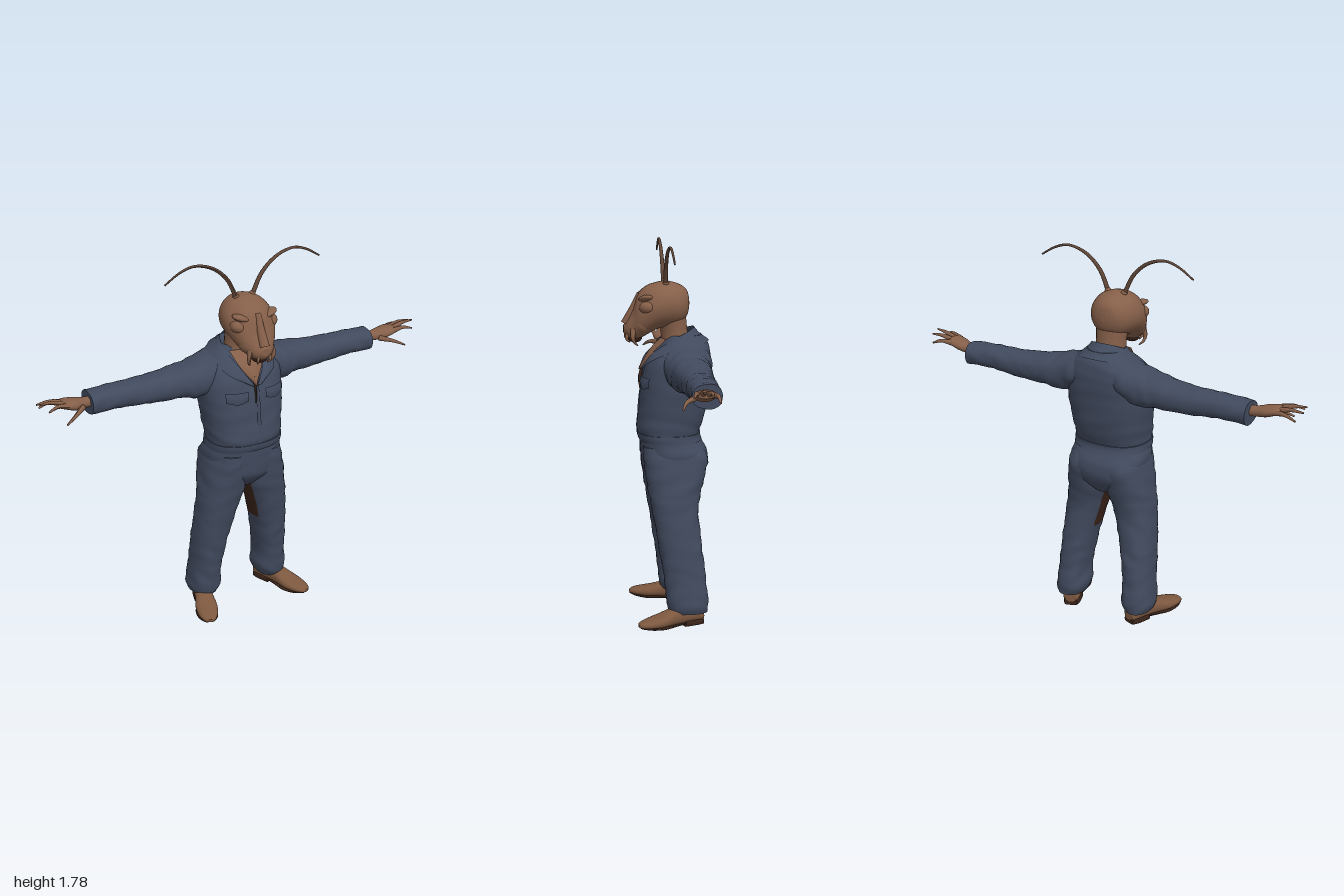
import * as THREE from 'three';

const mat = (name, color, side = THREE.FrontSide) => {
  const m = new THREE.MeshStandardMaterial({ color, side });
  m.name = name;
  return m;
};
const cloth = mat('navy cloth', 0x414a5e, THREE.DoubleSide);
const skin = mat('brown skin', 0x855f49, THREE.DoubleSide);
const leather = mat('brown shoe leather', 0x7d583f);
const dark = mat('dark brown', 0x3a241a, THREE.DoubleSide);
const horn = mat('antenna brown', 0x614738);

const catmull = (a, b, c, d, t) =>
  0.5 * (2 * b + (c - a) * t + (2 * a - 5 * b + 4 * c - d) * t * t + (3 * b - a - 3 * c + d) * t * t * t);

// Closed body through cross-sections [t, uMin, uMax, vMin, vMax], t rising along the axis.
// Axis x: u,v = y,z   axis y: u,v = z,x   axis z: u,v = x,y
function loft(axis, secs, { n = 2, seg = 28, steps = 5, fold = 0, patch = null } = {}) {
  const pos = [], main = [], extra = [];
  const put = (t, u, v) => pos.push(...(axis === 'x' ? [t, u, v] : axis === 'y' ? [v, t, u] : [u, v, t]));
  const rows = [];
  const at = i => secs[Math.max(0, Math.min(secs.length - 1, i))];
  for (let i = 0; i < secs.length - 1; i++)
    for (let k = 0; k < steps; k++)
      rows.push(at(i).map((_, c) => catmull(at(i - 1)[c], at(i)[c], at(i + 1)[c], at(i + 2)[c], k / steps)));
  rows.push(at(secs.length));
  const ring = ([t, u0, u1, v0, v1]) => {
    for (let j = 0; j < seg; j++) {
      const a = (j / seg) * Math.PI * 2, c = Math.cos(a), s = Math.sin(a);
      const f = 1 + fold * Math.sin(t * 75 + 2.5 * Math.sin(a * 2 + t * 9)) * Math.sin(t * 23 + a);
      put(t, (u0 + u1) / 2 + ((u1 - u0) / 2) * f * Math.sign(c) * Math.abs(c) ** (2 / n),
        (v0 + v1) / 2 + ((v1 - v0) / 2) * f * Math.sign(s) * Math.abs(s) ** (2 / n));
    }
  };
  rows.forEach(ring);
  for (let i = 0; i < rows.length - 1; i++)
    for (let j = 0; j < seg; j++) {
      const a = i * seg + j, b = i * seg + ((j + 1) % seg);
      const list = patch && patch(rows[i][0], ((j + 0.5) / seg) * 360) ? extra : main;
      list.push(a, b, b + seg, a, b + seg, a + seg);
    }
  // end caps
  [rows[0], rows[rows.length - 1]].forEach((r, e) => {
    const base = pos.length / 3;
    ring(r);
    put(r[0], (r[1] + r[2]) / 2, (r[3] + r[4]) / 2);
    for (let j = 0; j < seg; j++) {
      const p = base + j, q = base + ((j + 1) % seg);
      main.push(...(e ? [p, q, base + seg] : [q, p, base + seg]));
    }
  });
  const g = new THREE.BufferGeometry();
  g.setAttribute('position', new THREE.Float32BufferAttribute(pos, 3));
  g.setIndex([...main, ...extra]);
  g.addGroup(0, main.length, 0);
  if (extra.length) g.addGroup(main.length, extra.length, 1);
  g.computeVertexNormals();
  return g;
}

const V = p => new THREE.Vector3(...p);
const curve = pts => new THREE.CatmullRomCurve3(pts.map(V));

// Tapered tube along a curve
function taper(pts, r0, r1, seg = 10, sides = 8) {
  const c = curve(pts), g = new THREE.TubeGeometry(c, seg, 1, sides), p = g.attributes.position;
  for (let i = 0; i < p.count; i++) {
    const t = Math.floor(i / (sides + 1)) / seg, o = c.getPointAt(t);
    const q = new THREE.Vector3().fromBufferAttribute(p, i).sub(o).multiplyScalar(r0 + (r1 - r0) * t).add(o);
    p.setXYZ(i, q.x, q.y, q.z);
  }
  return g;
}

// Open sheet stretched between two curves, bowed forward in the middle
function sheet(ptsA, ptsB, bow = 0, n = 24, m = 6) {
  const A = curve(ptsA), B = curve(ptsB), g = new THREE.PlaneGeometry(1, 1, n, m), p = g.attributes.position;
  for (let j = 0; j <= m; j++)
    for (let i = 0; i <= n; i++) {
      const q = A.getPoint(i / n).lerp(B.getPoint(i / n), j / m);
      p.setXYZ(j * (n + 1) + i, q.x, q.y, q.z + bow * Math.sin((j / m) * Math.PI));
    }
  g.computeVertexNormals();
  return g;
}

const ball = (x, y, z, rx, ry, rz, tilt = 0) =>
  new THREE.SphereGeometry(1, 20, 14).scale(rx, ry, rz).rotateZ(tilt).translate(x, y, z);

function mirrored(g) {
  const m = g.clone().scale(-1, 1, 1), ix = m.index.array;
  for (let i = 0; i < ix.length; i += 3) [ix[i], ix[i + 1]] = [ix[i + 1], ix[i]];
  m.computeVertexNormals();
  return m;
}

export function createModel() {
  const root = new THREE.Group();
  root.name = 'insectHeadedWorker';
  const add = (name, g, m) => {
    const mesh = new THREE.Mesh(g, m);
    mesh.name = name;
    root.add(mesh);
  };
  const pair = (name, g, m) => {
    add(name + 'Left', g, m);
    add(name + 'Right', mirrored(g), m);
  };

  // coverall
  add('torso', loft('y', [
    [.65, -.13, .06, -.05, .05], [.72, -.18, .115, -.165, .165], [.8, -.187, .125, -.19, .19],
    [.86, -.155, .13, -.181, .181], [.89, -.145, .138, -.178, .178], [.93, -.158, .143, -.182, .182],
    [1.0, -.176, .135, -.19, .19], [1.1, -.19, .125, -.2, .2], [1.2, -.2, .105, -.2, .2],
    [1.26, -.2, .07, -.185, .185], [1.31, -.188, .03, -.13, .13], [1.35, -.16, .01, -.085, .085],
  ], { n: 2.4, seg: 48, fold: .012 }), cloth);
  add('waistband', loft('y', [
    [.862, -.159, .135, -.184, .184], [.88, -.153, .141, -.184, .184], [.898, -.153, .143, -.183, .183],
  ], { n: 2.4, seg: 48 }), cloth);
  pair('trouserLeg', loft('y', [
    [.065, -.168, .005, .125, .25], [.11, -.175, .022, .106, .26], [.2, -.165, .03, .11, .25],
    [.3, -.155, .045, .094, .245], [.4, -.143, .06, .075, .24], [.55, -.132, .086, .035, .226],
    [.66, -.155, .105, .002, .212], [.78, -.18, .12, 0, .192], [.84, -.15, .12, .01, .17],
  ], { n: 2.3, seg: 36, fold: .03, patch: (t, a) => t > .42 && t < .66 && a > 245 && a < 300 }), [cloth, dark]);
  pair('sleeve', loft('x', [
    [.05, 1.2, 1.325, -.18, 0], [.14, 1.14, 1.307, -.19, .03], [.22, 1.112, 1.285, -.18, .025],
    [.3, 1.123, 1.27, -.175, .005], [.45, 1.127, 1.252, -.165, -.015],
    [.6, 1.14, 1.25, -.157, -.022], [.745, 1.138, 1.245, -.155, -.025],
  ], { n: 2.3, fold: .04 }), cloth);

  // collar, running from one lapel round the back to the other
  const both = half => [...half.map(([x, y, z]) => [-x, y, z]).reverse(), ...half.slice(1)];
  add('collar', sheet(
    both([[0, 1.385, -.125], [.065, 1.372, -.095], [.088, 1.335, -.02], [.06, 1.27, .075], [.01, 1.19, .122]]),
    both([[0, 1.325, -.192], [.09, 1.318, -.165], [.145, 1.3, -.05], [.12, 1.245, .078], [.025, 1.19, .126]]),
    .008, 48), cloth);
  add('bareChest', sheet(
    [[-.08, 1.335, .012], [-.058, 1.27, .074], [-.002, 1.188, .121]],
    [[.08, 1.335, .012], [.058, 1.27, .074], [.002, 1.188, .121]], .014), skin);
  pair('pocketFlap', sheet(
    [[.045, 1.165, .126], [.095, 1.165, .119], [.148, 1.165, .094]],
    [[.045, 1.12, .13], [.095, 1.11, .126], [.148, 1.12, .1]], .004), cloth);
  add('placket', sheet([[-.004, 1.2, .1], [-.004, 1.05, .125], [-.004, .9, .135]],
    [[.016, 1.2, .115], [.016, 1.05, .137], [.016, .9, .145]], .002), cloth);
  add('placketLining', sheet([[-.006, 1.25, .07], [-.006, 1.17, .1], [-.006, 1.1, .11]],
    [[-.004, 1.23, .113], [-.004, 1.17, .132], [-.004, 1.1, .132]]), dark);

  // head
  add('neck', loft('y', [[1.28, -.11, .03, -.085, .085], [1.36, -.095, .03, -.072, .072],
    [1.46, -.085, .05, -.08, .08]]), skin);
  add('head', loft('z', [
    [-.101, -.018, .018, 1.475, 1.515], [-.09, -.058, .058, 1.435, 1.555], [-.055, -.095, .095, 1.398, 1.582],
    [0, -.116, .116, 1.385, 1.597], [.05, -.12, .12, 1.375, 1.591], [.1, -.108, .108, 1.348, 1.573],
    [.137, -.088, .088, 1.33, 1.535], [.16, -.068, .068, 1.33, 1.47],
    [.187, -.047, .047, 1.338, 1.42], [.203, -.02, .02, 1.36, 1.395],
  ], { seg: 36 }), skin);
  pair('eye', ball(.078, 1.482, .095, .04, .032, .042, .25), skin);
  pair('brow', ball(.066, 1.522, .102, .048, .016, .036, .3), skin);
  pair('cheek', ball(.06, 1.4, .12, .028, .04, .035, -.3), skin);
  add('noseRidge', taper([[0, 1.54, .125], [0, 1.47, .155], [0, 1.4, .19]], .016, .026), skin);
  add('mouth', ball(0, 1.337, .15, .038, .024, .034), dark);
  pair('mandible', taper([[.055, 1.385, .16], [.064, 1.345, .165], [.058, 1.318, .155], [.045, 1.305, .14]],
    .015, .003), skin);
  pair('palp', taper([[.025, 1.36, .185], [.032, 1.335, .19], [.026, 1.318, .175]], .011, .003), skin);
  pair('antennaBase', ball(.043, 1.59, .01, .015, .012, .015), skin);
  pair('antenna', taper([[.04, 1.58, .012], [.09, 1.68, .014], [.165, 1.745, .014], [.255, 1.769, .012],
    [.325, 1.75, .01], [.398, 1.706, .008]], .011, .004, 32), horn);

  // hands
  pair('palm', loft('x', [
    [.72, 1.172, 1.222, -.11, -.055], [.77, 1.177, 1.225, -.108, -.05], [.82, 1.183, 1.237, -.115, -.025],
    [.865, 1.2, 1.242, -.113, -.018], [.89, 1.21, 1.235, -.1, -.03],
  ]), skin);
  [
    [[.86, 1.218, -.098], [.915, 1.224, -.112], [.967, 1.205, -.115]],
    [[.87, 1.225, -.077], [.93, 1.24, -.084], [.99, 1.238, -.083]],
    [[.87, 1.226, -.053], [.93, 1.246, -.052], [.988, 1.252, -.046]],
    [[.86, 1.222, -.032], [.915, 1.236, -.02], [.962, 1.226, -.008]],
    [[.79, 1.198, -.04], [.845, 1.188, .008], [.897, 1.165, .03]],
  ].forEach((pts, i) => pair('finger' + (i + 1), taper(pts, .0145, .004), skin));

  // shoes, toes turned outward
  const place = g => g.rotateY(.34).translate(.217, 0, 0);
  pair('shoe', place(loft('z', [
    [-.155, -.028, .028, .02, .06], [-.14, -.04, .04, .015, .085], [-.08, -.043, .043, .014, .1],
    [-.01, -.044, .044, .012, .09], [.06, -.053, .053, .01, .066], [.12, -.045, .045, .012, .052],
    [.157, -.028, .028, .016, .042], [.168, -.012, .012, .02, .034],
  ], { n: 2.4, seg: 24 })), leather);
  pair('sole', place(loft('z', [
    [-.05, -.032, .032, .01, .02], [0, -.042, .042, .008, .018], [.06, -.053, .053, .006, .018],
    [.12, -.045, .045, .01, .02], [.162, -.022, .022, .016, .024],
  ], { n: 4, seg: 24 })), dark);
  pair('heel', place(loft('z', [[-.152, -.032, .032, 0, .028], [-.12, -.041, .041, 0, .03],
    [-.055, -.04, .04, 0, .028]], { n: 5, seg: 24 })), dark);

  return root;
}
